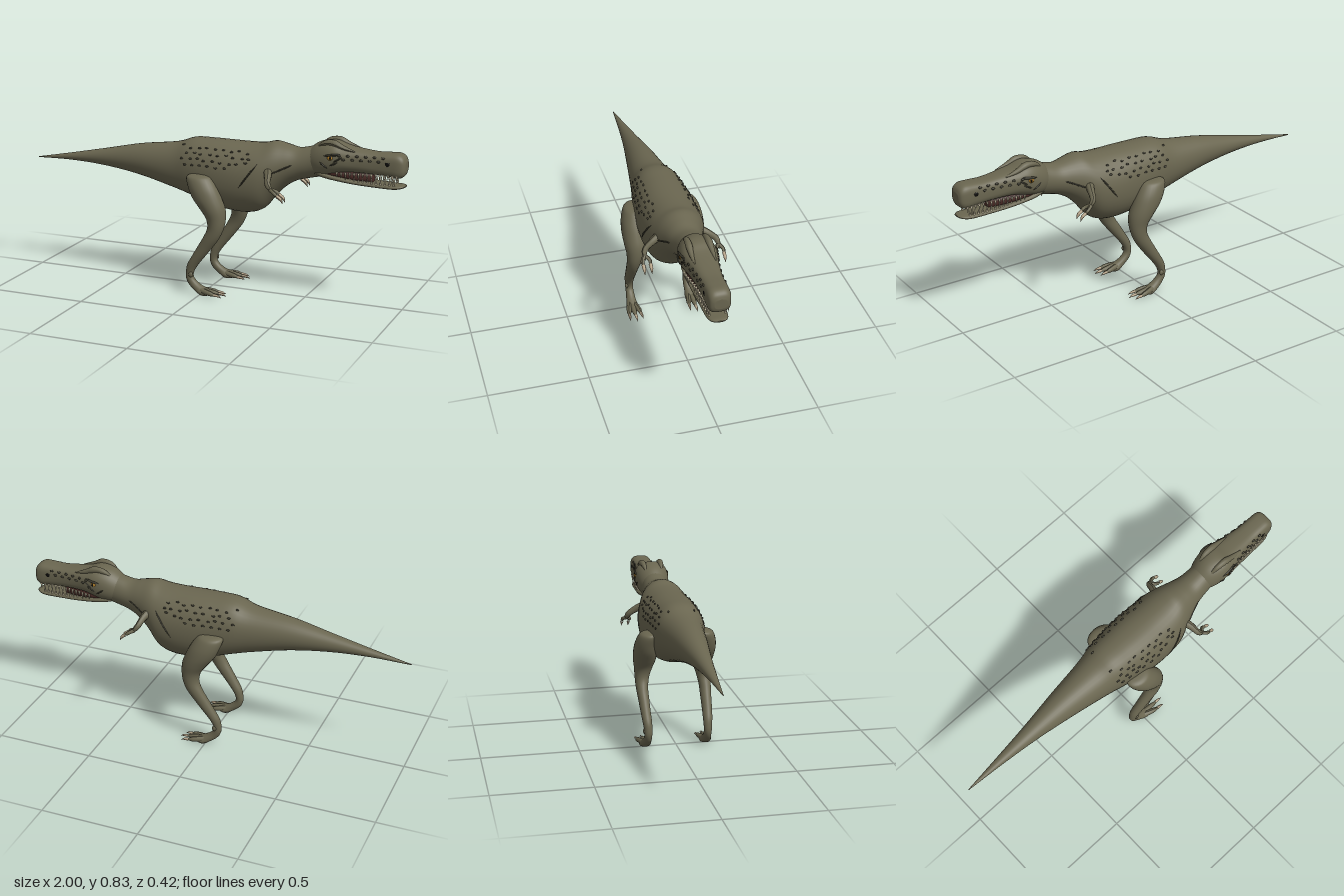
import * as THREE from 'three';

const mat = (name, color) => Object.assign(new THREE.MeshStandardMaterial({ color }), { name });
const skin = mat('olive skin', 0x6a6650);
const dark = mat('dark scales', 0x3b392d);
const ivory = mat('tooth ivory', 0xddd2b4);
const horn = mat('claw horn', 0xb5a388);
const amber = mat('eye amber', 0xb8842a);
const black = mat('pupil black', 0x0c0b09);
const flesh = mat('mouth flesh', 0x4a2b26);

// smooth interpolation through rows of numbers
function smoothRows(rows, steps) {
  const out = [];
  for (let i = 0; i < rows.length - 1; i++) {
    const [a, b, c, d] = [-1, 0, 1, 2].map(k => rows[Math.min(Math.max(i + k, 0), rows.length - 1)]);
    for (let s = 0; s < steps; s++) {
      const t = s / steps;
      out.push(b.map((v, k) => {
        const linear = c[k] - a[k];
        const square = 2 * a[k] - 5 * v + 4 * c[k] - d[k];
        const cube = 3 * (v - c[k]) + d[k] - a[k];
        return v + 0.5 * t * (linear + t * (square + t * cube));
      }));
    }
  }
  out.push(rows[rows.length - 1]);
  return out;
}

// closed skin over rings of points
function skinRings(rings) {
  const n = rings[0].length, pos = rings.flat(2), idx = [];
  for (let i = 0; i < rings.length - 1; i++) for (let j = 0; j < n; j++) {
    const a = i * n + j, b = i * n + (j + 1) % n;
    idx.push(a, b, b + n, a, b + n, a + n);
  }
  for (const [r, flip] of [[0, true], [rings.length - 1, false]]) {
    for (let j = 1; j < n - 1; j++) {
      const o = r * n;
      idx.push(o, o + (flip ? j + 1 : j), o + (flip ? j : j + 1));
    }
  }
  const g = new THREE.BufferGeometry();
  g.setAttribute('position', new THREE.Float32BufferAttribute(pos, 3));
  g.setIndex(idx);
  g.computeVertexNormals();
  return g;
}

const angles = n => Array.from({ length: n }, (_, j) => j / n * Math.PI * 2);
const power = (v, n) => Math.sign(v) * Math.abs(v) ** (2 / n);

// lengthwise form; rows are x, top, bottom, half width, squareness
const loftX = rows => skinRings(smoothRows(rows, 5).map(([x, t, b, w, n]) => angles(36).map(a =>
  [x, (t + b) / 2 + (t - b) / 2 * power(Math.cos(a), n), w * power(Math.sin(a), n)])));

// upright form; rows go upward: y, centre x, half x, centre z, half z
const loftY = (rows, side) => skinRings(smoothRows(rows, 5).map(([y, cx, rx, cz, rz]) =>
  angles(24).map(a => [cx + rx * Math.sin(a), y, side * cz + rz * Math.cos(a)])));

// side surface of a lengthwise form at x, y
function surfaceZ(rows, x, y) {
  const s = smoothRows(rows, 5);
  const i = Math.max(1, s.findIndex(r => r[0] >= x));
  const f = (x - s[i - 1][0]) / (s[i][0] - s[i - 1][0]);
  const [, t, b, w, n] = s[i].map((v, k) => s[i - 1][k] + (v - s[i - 1][k]) * f);
  const d = Math.min(1, Math.abs((y - (t + b) / 2) / ((t - b) / 2)));
  return w * (1 - d ** n) ** (1 / n);
}

// tapered tube; points are x, y, z, radius
function taper(points, side) {
  const segments = 16, radial = 10;
  const curve = new THREE.CatmullRomCurve3(points.map(p => new THREE.Vector3(p[0], p[1], p[2] * side)));
  const g = new THREE.TubeGeometry(curve, segments, 1, radial), p = g.attributes.position, v = new THREE.Vector3();
  for (let i = 0; i < p.count; i++) {
    const u = Math.floor(i / (radial + 1)) / segments, c = curve.getPointAt(u);
    const k = u * (points.length - 1), j = Math.min(Math.floor(k), points.length - 2);
    const r = points[j][3] + (points[j + 1][3] - points[j][3]) * (k - j);
    v.fromBufferAttribute(p, i).sub(c).multiplyScalar(r).add(c);
    p.setXYZ(i, v.x, v.y, v.z);
  }
  g.computeVertexNormals();
  return g;
}

const BODY = [
  [-1, .588, .584, .002, 2], [-.8, .627, .588, .022, 2], [-.6, .668, .577, .045, 2], [-.4, .71, .548, .075, 2],
  [-.2, .737, .5, .105, 2.1], [-.1, .768, .472, .125, 2.2], [0, .771, .44, .14, 2.2], [.1, .77, .42, .149, 2.2],
  [.2, .77, .414, .15, 2.1], [.28, .774, .44, .142, 2.1], [.34, .787, .51, .12, 2], [.4, .776, .568, .096, 2],
  [.46, .764, .602, .078, 2], [.52, .776, .618, .07, 2], [.58, .79, .632, .066, 2], [.62, .77, .65, .05, 2]];
const HEAD = [
  [.49, .745, .66, .04, 2], [.55, .795, .635, .073, 2], [.6, .814, .636, .086, 2.2], [.65, .815, .65, .088, 2.4],
  [.7, .797, .666, .08, 2.6], [.76, .786, .67, .068, 2.8], [.85, .776, .668, .058, 3], [.92, .778, .663, .056, 3.2],
  [.965, .778, .658, .055, 3.2], [.99, .764, .67, .047, 3], [1, .742, .692, .03, 2.6]];
const JAW = [
  [.55, .675, .64, .05, 2], [.6, .67, .63, .068, 2.2], [.66, .655, .623, .068, 2.6], [.75, .638, .613, .061, 2.8],
  [.85, .63, .607, .055, 2.8], [.94, .627, .604, .05, 2.8], [.98, .627, .609, .04, 2.5], [.998, .623, .616, .02, 2]];
const MOUTH = [[.58, .68, .64, .055, 2.5], [.66, .68, .64, .06, 2.5], [.76, .68, .625, .045, 2.5], [.84, .676, .622, .02, 2.5]];
const LEG = [
  [0, .02, .028, .158, .026], [.012, .02, .045, .158, .031], [.03, -.008, .042, .157, .025], [.052, -.04, .03, .155, .021],
  [.08, -.06, .021, .155, .02], [.11, -.06, .021, .155, .021], [.15, -.044, .028, .157, .024], [.2, -.01, .034, .16, .026],
  [.25, .025, .039, .162, .028], [.3, .058, .042, .164, .031], [.35, .08, .042, .16, .037], [.4, .08, .05, .153, .047],
  [.45, .06, .066, .15, .058], [.5, .032, .076, .152, .059], [.55, .008, .076, .15, .056], [.595, -.014, .068, .14, .05],
  [.61, -.018, .05, .135, .035], [.614, -.018, .02, .13, .015]];

export function createModel() {
  const model = new THREE.Group();
  const add = (name, geometry, material, parent = model) => {
    const m = new THREE.Mesh(geometry, material);
    m.name = name;
    parent.add(m);
    return m;
  };

  add('bodyAndTail', loftX(BODY), skin);
  add('headAndUpperJaw', loftX(HEAD), skin);
  add('lowerJaw', loftX(JAW), skin);
  add('mouthInterior', loftX(MOUTH), flesh);

  for (const side of [1, -1]) {
    const half = new THREE.Group();
    half.name = side > 0 ? 'frontSideParts' : 'backSideParts';
    model.add(half);
    const tube = (name, points, material) => add(name, taper(points, side), material, half);
    const blob = (name, material, [x, y, z], scale) => {
      const m = add(name, new THREE.SphereGeometry(1, 12, 8), material, half);
      m.position.set(x, y, side * z);
      m.scale.set(...scale);
    };
    // dark line lying on a surface
    const stroke = (name, rows, [x0, y0], [x1, y1], r) =>
      tube(name, [0, .25, .5, .75, 1].map((t, i) => {
        const x = x0 + (x1 - x0) * t, y = y0 + (y1 - y0) * t;
        return [x, y, surfaceZ(rows, x, y), i % 4 ? r : .0005];
      }), dark);

    // leg, toes and claws
    add('leg', loftY(LEG, side), skin, half);
    blob('heelSpur', skin, [-.05, .1, .172], [.012, .015, .008]);
    for (const spread of [-1, 0, 1]) {
      const z = .16 + spread * .03, x = spread ? .095 : .11;
      tube('toe', [[0, .022, .158 + spread * .008, .016], [.05, .018, .16 + spread * .024, .014],
        [x - .01, .013, z, .012], [x + .005, .011, z, .002]], skin);
      tube('toeClaw', [[x - .01, .013, z, .008], [x + .012, .011, z + spread * .002, .006],
        [x + .03, .004, z + spread * .004, .0005]], horn);
    }

    // arm with two clawed fingers
    tube('arm', [[.325, .66, .085, .03], [.345, .64, .135, .02], [.36, .607, .178, .016],
      [.38, .582, .184, .014], [.395, .57, .184, .003]], skin);
    for (const z of [.165, .2]) {
      tube('finger', [[.375, .585, .183, .011], [.4, .573, z, .009], [.42, .558, z, .009], [.426, .552, z, .001]], skin);
      tube('fingerClaw', [[.415, .56, z, .009], [.435, .546, z, .008], [.447, .523, z, .0005]], horn);
    }

    // eye, brow and nostril
    blob('eye', amber, [.642, .744, .084], [.015, .013, .009]);
    blob('pupil', black, [.645, .744, .091], [.005, .009, .003]);
    tube('browRidge', [[.56, .78, .04, .004], [.6, .805, .046, .014], [.645, .81, .048, .017],
      [.7, .79, .05, .011], [.76, .775, .05, .003]], skin);
    stroke('eyelidLine', HEAD, [.61, .752], [.69, .764], .006);
    stroke('cheekFold', HEAD, [.66, .725], [.7, .75], .004);
    stroke('cheekFold', HEAD, [.64, .705], [.68, .725], .004);
    stroke('cheekFold', HEAD, [.59, .72], [.63, .69], .004);
    blob('nostril', black, [.918, .73, .0555], [.012, .01, .003]);

    // scale bumps along the snout
    for (let i = 0; i < 11; i++) {
      const x = .685 + i * .021, y = .757 - (i % 2) * .018;
      blob('snoutScale', dark, [x, y, surfaceZ(HEAD, x, y)], [.009, .006, .005]);
    }

    // teeth
    const tooth = (name, x, y, z, len, r) => {
      const m = add(name, new THREE.ConeGeometry(r, Math.abs(len), 8), ivory, half);
      m.position.set(x, y + len / 2, side * z);
      if (len < 0) m.rotation.x = Math.PI;
    };
    for (let i = 0; i < 15; i++) {
      const x = .675 + i * .0205;
      tooth('upperTooth', x, .675, surfaceZ(HEAD, x, .72) - .009, i === 13 ? -.05 : -.026 - (i % 3) * .005, .0065);
    }
    for (let i = 0; i < 13; i++) {
      const x = .69 + i * .0215;
      tooth('lowerTooth', x, .625, surfaceZ(JAW, x, .62) - .009, .026 + (i % 2) * .004, .0055);
    }

    // dark scales on the flank
    let seed = 7;
    const random = () => (seed = seed * 16807 % 2147483647) / 2147483647;
    for (let row = 0; row < 4; row++) for (let i = 0; i < (row === 3 ? 6 : 9); i++) {
      const x = -.13 + i * .043 + row % 2 * .02 + random() * .015, y = .735 - row * .026 + (random() - .5) * .014;
      blob('flankScale', dark, [x, y, surfaceZ(BODY, x, y)], [.009, .005, .005]);
    }

    // scar and neck folds
    stroke('flankScar', BODY, [.195, .565], [.285, .69], .004);
    for (let i = 0; i < 3; i++) {
      const x = .35 + i * .025, y = .645 + i * .012;
      stroke('neckFold', BODY, [x, y], [x + .05, y + .02], .0035);
    }
  }
  return model;
}
